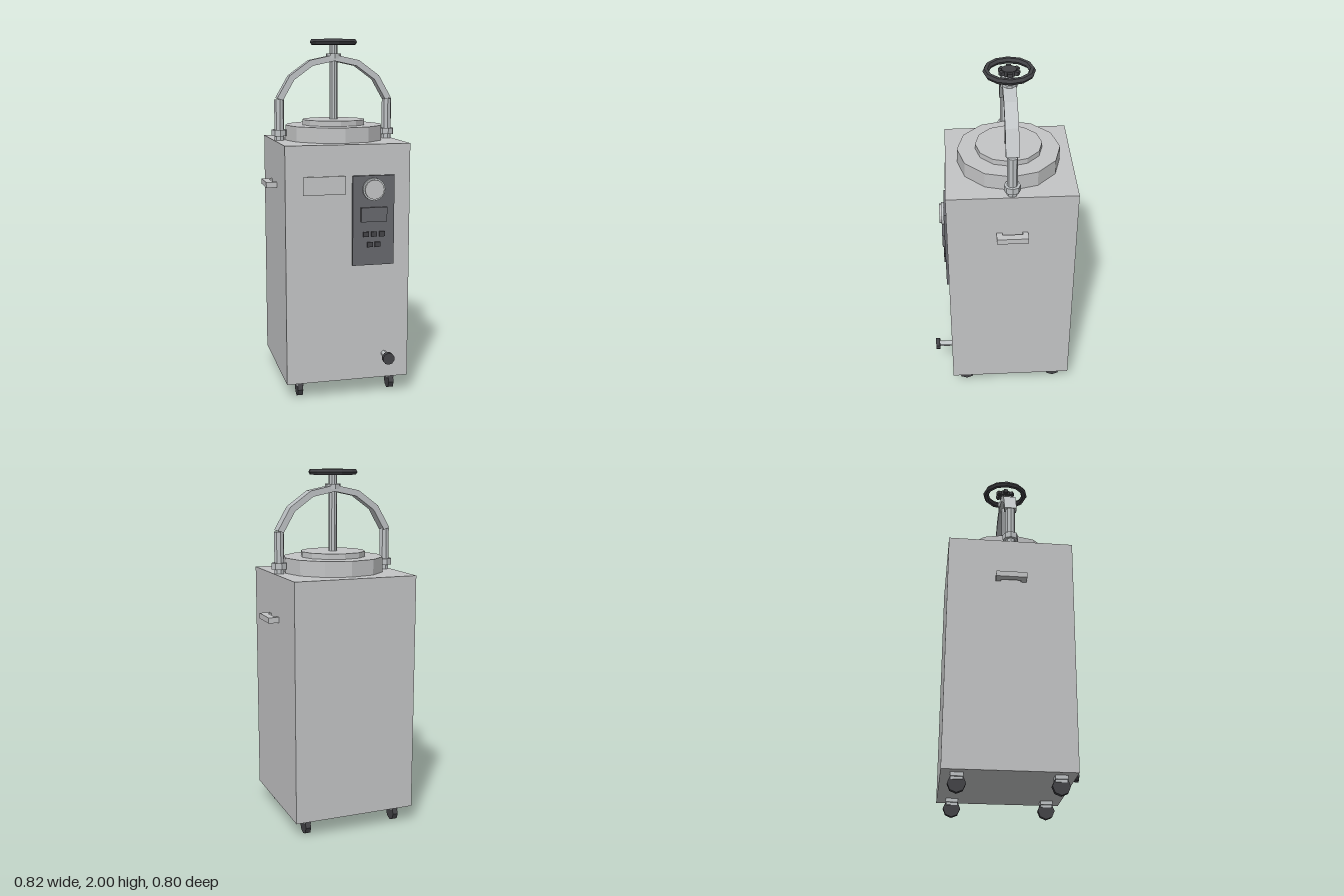
import * as THREE from 'three';

const mat = (name, color) => {
  const m = new THREE.MeshStandardMaterial({ color, flatShading: true });
  m.name = name;
  return m;
};

export function createModel() {
  const model = new THREE.Group();
  model.name = 'sterilizer';
  const grey = mat('cabinet grey', 0xc3c4c5);
  const steel = mat('steel', 0xbfc3c5);
  const slate = mat('panel slate', 0x67686d);
  const black = mat('soft black', 0x434347);
  const AXIS_Z = -0.05; // centre line of lid, arch and spindle

  const add = (name, geo, material, x = 0, y = 0, z = 0, parent = model) => {
    const mesh = new THREE.Mesh(geo, material);
    mesh.name = name;
    mesh.position.set(x, y, z);
    parent.add(mesh);
    return mesh;
  };
  // box given by its limits
  const block = (name, material, x0, x1, y0, y1, z0, z1, parent) =>
    add(name, new THREE.BoxGeometry(x1 - x0, y1 - y0, z1 - z0), material,
      (x0 + x1) / 2, (y0 + y1) / 2, (z0 + z1) / 2, parent);
  // upright cylinder between two heights
  const post = (name, material, r, y0, y1, x, z, sides, parent) =>
    add(name, new THREE.CylinderGeometry(r, r, y1 - y0, sides), material, x, (y0 + y1) / 2, z, parent);
  // cylinder along z between two depths
  const peg = (name, material, r, z0, z1, x, y, sides) =>
    add(name, new THREE.CylinderGeometry(r, r, z1 - z0, sides).rotateX(Math.PI / 2),
      material, x, y, (z0 + z1) / 2);

  // Cabinet and lid
  block('cabinet', grey, -0.35, 0.35, 0.1, 1.435, -0.4, 0.3);
  post('lidRim', grey, 0.282, 1.435, 1.52, 0, AXIS_Z, 12);
  post('lidTop', grey, 0.183, 1.52, 1.55, 0, AXIS_Z, 12);

  // Arch: a six-segment band
  const arc = (r) => Array.from({ length: 7 }, (_, i) => {
    const a = THREE.MathUtils.degToRad(-72 + 24 * i);
    return new THREE.Vector2(r * Math.sin(a), 1.564 + r * Math.cos(a));
  });
  const band = new THREE.Shape([...arc(0.35), ...arc(0.315).reverse()]);
  add('arch', new THREE.ExtrudeGeometry(band, { depth: 0.07, bevelEnabled: false }),
    steel, 0, 0, AXIS_Z - 0.035);

  // Posts and side handles
  for (const s of [-1, 1]) {
    const side = s > 0 ? 'left' : 'right';
    post(side + 'Post', steel, 0.028, 1.435, 1.665, s * 0.317, AXIS_Z, 8);
    post(side + 'PostNut', steel, 0.044, 1.46, 1.495, s * 0.317, AXIS_Z, 8);

    const handle = new THREE.Group();
    handle.name = side + 'Handle';
    model.add(handle);
    const grip = [0.37, 0.41].map((v) => v * s).sort((a, b) => a - b);
    const arm = [0.349, 0.372].map((v) => v * s).sort((a, b) => a - b);
    block('grip', grey, ...grip, 1.175, 1.206, -0.135, 0.035, handle);
    block('rearArm', grey, ...arm, 1.175, 1.206, -0.135, -0.106, handle);
    block('frontArm', grey, ...arm, 1.175, 1.206, 0.004, 0.035, handle);
  }

  // Spindle and hand wheel
  post('spindle', steel, 0.023, 1.55, 1.975, 0, AXIS_Z, 10);
  post('spindleNut', steel, 0.043, 1.893, 1.92, 0, AXIS_Z, 10);
  add('handWheel', new THREE.TorusGeometry(0.12, 0.0175, 6, 12).rotateX(Math.PI / 2),
    black, 0, 1.985, AXIS_Z);
  post('wheelHub', black, 0.04, 1.968, 1.997, 0, AXIS_Z, 12);
  for (let i = 0; i < 6; i++) {
    const lug = add('hubLug', new THREE.BoxGeometry(0.03, 0.02, 0.025).translate(0.042, 0, 0),
      black, 0, 1.983, AXIS_Z);
    lug.rotation.y = i * Math.PI / 3;
  }

  // Front plate, control panel and its fittings
  block('namePlate', grey, -0.253, -0.015, 1.165, 1.265, 0.299, 0.308);
  block('controlPanel', slate, 0.021, 0.257, 0.765, 1.265, 0.299, 0.315);
  peg('gaugeRim', steel, 0.063, 0.314, 0.329, 0.138, 1.19, 16);
  peg('gaugeFace', grey, 0.054, 0.328, 0.34, 0.138, 1.19, 16);
  block('display', slate, 0.065, 0.213, 1.01, 1.09, 0.314, 0.329);
  const buttons = [[0.096, 0.94], [0.141, 0.94], [0.186, 0.94], [0.118, 0.882], [0.161, 0.882]];
  for (const [x, y] of buttons)
    block('button', black, x - 0.016, x + 0.016, y - 0.014, y + 0.014, 0.314, 0.325);

  // Drain valve
  peg('drainPipe', steel, 0.017, 0.299, 0.38, 0.21, 0.24, 10);
  peg('drainKnob', black, 0.034, 0.376, 0.4, 0.21, 0.24, 10);

  // Casters
  for (const x of [-0.267, 0.267]) {
    for (const z of [-0.316, 0.218]) {
      block('casterPlate', steel, x - 0.032, x + 0.032, 0.08, 0.101, z - 0.034, z + 0.034);
      block('casterFork', steel, x - 0.021, x + 0.021, 0.066, 0.082, z - 0.03, z + 0.03);
      add('casterWheel', new THREE.CylinderGeometry(0.048, 0.048, 0.03, 8).rotateZ(Math.PI / 2),
        black, x, 0.048, z);
    }
  }
  return model;
}
